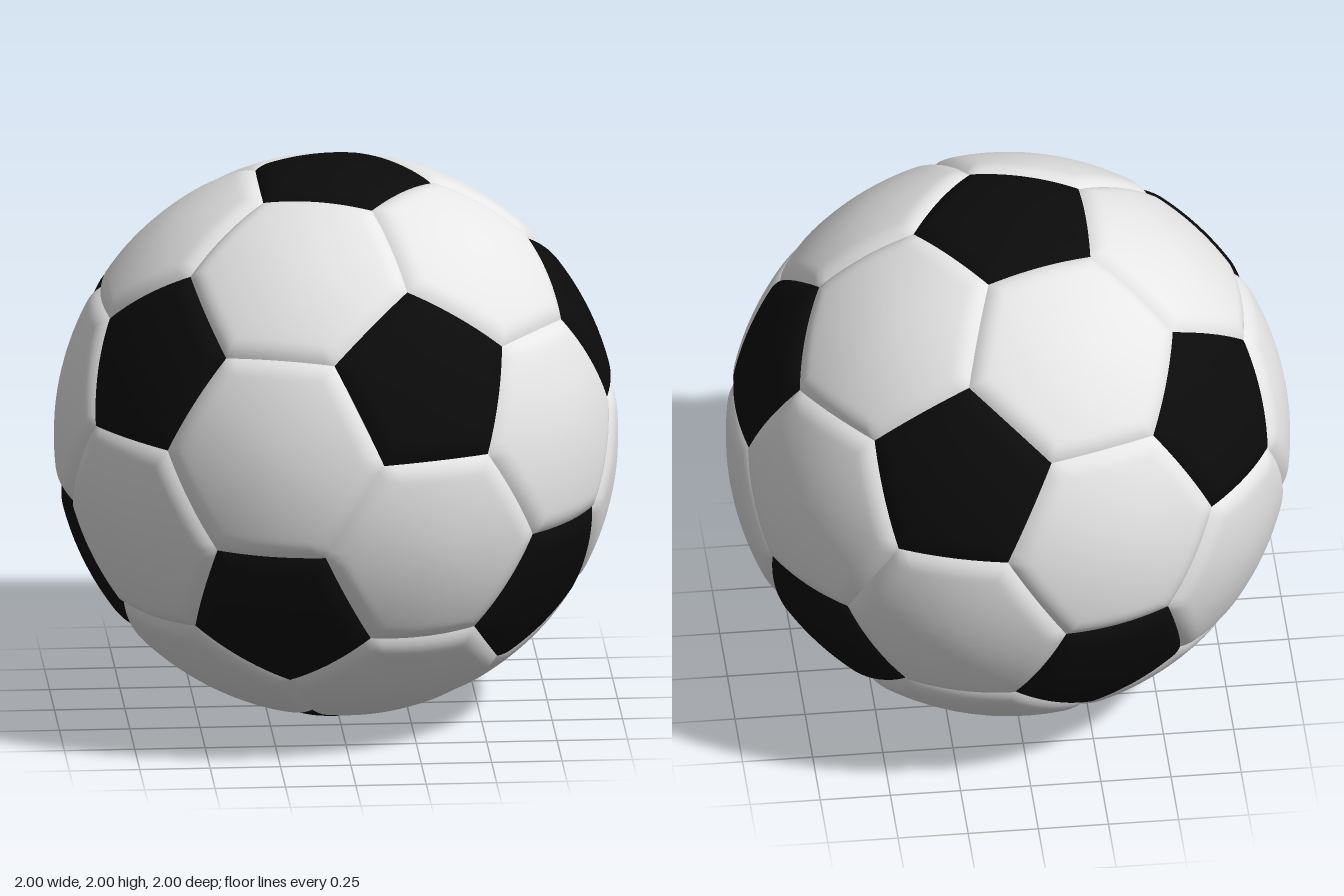
import * as THREE from 'three';

const SEAM_DEPTH = 0.02, SEAM_WIDTH = 0.075, EDGE_STEPS = 12;
// Ring positions from panel centre to seam, denser where the panel rolls over
const RINGS = [0.16, 0.32, 0.48, 0.62, 0.72, 0.77, 0.81, 0.85, 0.89, 0.92, 0.95, 0.975, 1];

// Twelve icosahedron corners: two poles and two staggered rings
function icosahedronCorners() {
  const h = 1 / Math.sqrt(5), r = 2 * h;
  const corners = [new THREE.Vector3(0, 1, 0), new THREE.Vector3(0, -1, 0)];
  for (let i = 0; i < 5; i++) {
    const a = (i * 2 * Math.PI) / 5, b = a + Math.PI / 5;
    corners.push(new THREE.Vector3(r * Math.cos(a), h, r * Math.sin(a)));
    corners.push(new THREE.Vector3(r * Math.cos(b), -h, r * Math.sin(b)));
  }
  return corners;
}

// Order polygon corners counter-clockwise as seen from outside
function sortAround(points, centre) {
  const n = centre.clone().normalize();
  const u = points[0].clone().sub(centre).normalize();
  const v = n.clone().cross(u);
  const angle = (p) => {
    const d = p.clone().sub(centre);
    return Math.atan2(d.dot(v), d.dot(u));
  };
  return points.map((p) => [angle(p), p]).sort((a, b) => a[0] - b[0]).map((e) => e[1]);
}

// A flat polygon puffed onto the sphere, rolling down into the seam at its border
function panelGeometry(points) {
  const centre = points.reduce((s, p) => s.add(p), new THREE.Vector3()).divideScalar(points.length);
  const loop = sortAround(points, centre);
  const apothem = loop[0].clone().add(loop[1]).multiplyScalar(0.5).distanceTo(centre) / centre.length();
  const border = [];
  loop.forEach((p, i) => {
    const q = loop[(i + 1) % loop.length];
    for (let s = 0; s < EDGE_STEPS; s++) border.push(p.clone().lerp(q, s / EDGE_STEPS));
  });

  const count = border.length, positions = [], index = [];
  const place = (p, r) => {
    const v = p.clone().setLength(r);
    positions.push(v.x, v.y + 1, v.z);
  };
  place(centre, 1);
  for (const t of RINGS) {
    const k = Math.max(0, 1 - ((1 - t) * apothem) / SEAM_WIDTH);
    for (const p of border) place(centre.clone().lerp(p, t), 1 - SEAM_DEPTH * k * k);
  }
  for (let i = 0; i < count; i++) {
    const j = (i + 1) % count;
    index.push(0, 1 + i, 1 + j);
    for (let r = 1; r < RINGS.length; r++) {
      const a = 1 + (r - 1) * count, b = a + count;
      index.push(a + i, b + i, b + j, a + i, b + j, a + j);
    }
  }
  const g = new THREE.BufferGeometry();
  g.setAttribute('position', new THREE.Float32BufferAttribute(positions, 3));
  g.setIndex(index);
  g.computeVertexNormals();
  return g;
}

export function createModel() {
  const white = new THREE.MeshStandardMaterial({ color: 0xe6e6e6 });
  white.name = 'white';
  const black = new THREE.MeshStandardMaterial({ color: 0x0b0b0b });
  black.name = 'black';

  const ball = new THREE.Group();
  ball.name = 'soccerBall';
  const addPanel = (name, points, material) => {
    const mesh = new THREE.Mesh(panelGeometry(points), material);
    mesh.name = name;
    ball.add(mesh);
  };

  const corners = icosahedronCorners();
  const near = (a, b) => a !== b && a.distanceTo(b) < 1.2;
  const third = (a, b) => a.clone().lerp(b, 1 / 3);

  // Black pentagons, one at each corner
  corners.forEach((c) => {
    addPanel('pentagonPanel', corners.filter((n) => near(c, n)).map((n) => third(c, n)), black);
  });

  // White hexagons, one on each triangular face
  for (let i = 0; i < 12; i++) for (let j = i + 1; j < 12; j++) for (let k = j + 1; k < 12; k++) {
    const [a, b, c] = [corners[i], corners[j], corners[k]];
    if (!near(a, b) || !near(b, c) || !near(a, c)) continue;
    addPanel('hexagonPanel',
      [third(a, b), third(b, a), third(b, c), third(c, b), third(c, a), third(a, c)], white);
  }
  return ball;
}
